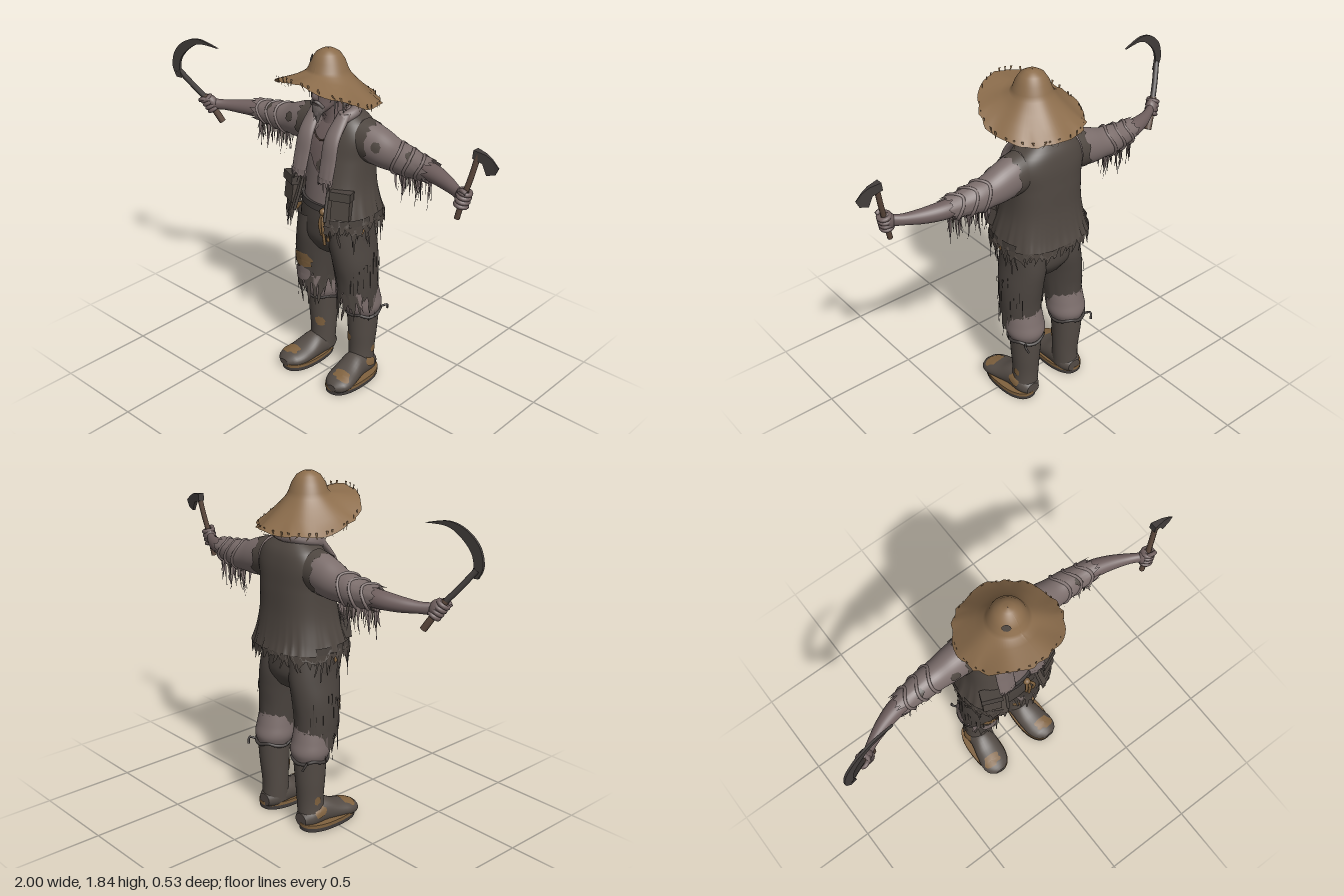
import * as THREE from 'three';

const V = (x, y, z) => new THREE.Vector3(x, y, z);
const TAU = Math.PI * 2;

export function createModel() {
  const root = new THREE.Group();
  root.name = 'raggedFarmer';
  let seed = 11;
  const rnd = () => (seed = (seed * 16807) % 2147483647) / 2147483647;

  const colors = {
    straw: 0x8c6d4c, skin: 0x70605f, shirt: 0x7c6e6c, vest: 0x4f4741, trousers: 0x4b443f,
    boots: 0x544c46, mud: 0x80623f, steel: 0x423d3b, wood: 0x5c483c, hair: 0x6c6361,
  };
  const M = {};
  for (const [name, color] of Object.entries(colors)) {
    M[name] = new THREE.MeshStandardMaterial({ color, side: THREE.DoubleSide });
    M[name].name = name;
  }

  const add = (name, geo, mat, parent = root) => {
    const m = new THREE.Mesh(geo, mat);
    m.name = name;
    parent.add(m);
    return m;
  };
  const mirror = (geo) => {
    const g = geo.clone().scale(-1, 1, 1), ix = g.index.array;
    for (let i = 0; i < ix.length; i += 3) [ix[i], ix[i + 1]] = [ix[i + 1], ix[i]];
    return g;
  };
  const pair = (name, geo, mat) => {
    add('left' + name, geo, mat);
    add('right' + name, mirror(geo), mat);
  };

  // Rows of points to a smooth surface
  function grid(rows, closed) {
    const n = rows[0].length, index = [];
    for (let i = 0; i + 1 < rows.length; i++) for (let j = 0; j < (closed ? n : n - 1); j++) {
      const k = (j + 1) % n, a = i * n + j, b = i * n + k, c = b + n, d = a + n;
      index.push(a, b, c, a, c, d);
    }
    const g = new THREE.BufferGeometry().setFromPoints(rows.flat());
    g.setIndex(index);
    g.computeVertexNormals();
    return g;
  }
  // Smooth body through elliptical rings: x [x,cy,cz,ry,rz], y [y,cx,cz,rx,rz], z [z,cx,cy,rx,ry]
  function body(axis, rings, e = 1) {
    const vals = rings.flatMap(([, a, b, ra, rb]) => axis === 'y' ? [b, a, rb, ra] : [a, b, ra, rb]);
    const f = new THREE.CubicInterpolant(rings.map(r => r[0]), new Float32Array(vals), 4);
    const pw = (q) => Math.sign(q) * Math.abs(q) ** e;
    const at = (t, th, grow = 0) => {
      const [a, b, ra, rb] = f.evaluate(t);
      const u = a + (ra + grow) * pw(Math.cos(th)), v = b + (rb + grow) * pw(Math.sin(th));
      return axis === 'x' ? V(t, u, v) : axis === 'y' ? V(v, t, u) : V(u, v, t);
    };
    at.axis = axis;
    at.lo = rings[0][0];
    at.hi = rings[rings.length - 1][0];
    return at;
  }
  function loft(at, { n = 20, seg = 32, a0 = 0, a1 = TAU, caps = true, hemLow = 0, hemHigh = 0 } = {}) {
    const closed = a1 - a0 > TAU - 0.01, cols = closed ? seg : seg + 1;
    const jag = Array.from({ length: cols }, () => rnd() - 0.5), rows = [];
    for (let i = 0; i <= n; i++) {
      const k = i / n, shift = hemLow * (1 - k) ** 5 + hemHigh * k ** 5;
      rows.push(jag.map((q, j) => {
        const p = at(at.lo + (at.hi - at.lo) * k, a0 + (a1 - a0) * j / seg);
        p[at.axis] += q * shift;
        return p;
      }));
    }
    if (caps && closed) {
      const lid = (r) => {
        const c = r.reduce((s, p) => s.add(p), V(0, 0, 0)).divideScalar(r.length);
        return r.map(() => c.clone());
      };
      const first = rows[0], last = rows[n];
      rows.unshift(lid(first), first.map(p => p.clone()));
      rows.push(last.map(p => p.clone()), lid(last));
    }
    return grid(rows, closed);
  }
  // Thin ragged patch lying on a body
  function patch(at, t, th, dt, dth, grow = 0.005) {
    const wob = Array.from({ length: 18 }, () => 0.75 + rnd() * 0.35);
    return grid([0, 0.35, 0.7, 1].map(r => wob.map((w, j) => {
      const a = -j / 18 * TAU;
      return at(t + dt * r * w * Math.sin(a), th + dth * r * w * Math.cos(a), grow);
    })), true);
  }
  // Hanging torn strips; where(k) gives the anchor for k in 0..1
  function tatters(where, count, len, width) {
    const pos = [], index = [];
    for (let c = 0; c < count; c++) {
      const k = (c + rnd() * 0.7) / count, p = where(k), tan = where(k + 0.01).sub(p).normalize();
      const L = len * (0.35 + rnd() * 0.75), sway = (rnd() - 0.5) * 0.05, b = pos.length / 3;
      for (let i = 0; i <= 4; i++) for (const s of [-1, 1]) {
        const o = s * width * (1 - i / 4.3) / 2 + sway * (i / 4) ** 2 + (rnd() - 0.5) * width * 0.3;
        pos.push(p.x + tan.x * o, p.y + 0.02 - (L + 0.02) * i / 4, p.z + tan.z * o);
      }
      for (let i = 0; i < 4; i++) {
        const a = b + i * 2;
        index.push(a, a + 2, a + 1, a + 1, a + 2, a + 3);
      }
    }
    const g = new THREE.BufferGeometry();
    g.setAttribute('position', new THREE.Float32BufferAttribute(pos, 3));
    g.setIndex(index);
    g.computeVertexNormals();
    return g;
  }
  const tube = (pts, r, closed = false, n = 32) =>
    new THREE.TubeGeometry(new THREE.CatmullRomCurve3(pts.map(p => V(...p)), closed), n, r, 8, closed);

  // Straw hat: turned profile, brim high in front and low at the back
  const hat = new THREE.LatheGeometry([[0.001, 1.842], [0.03, 1.838], [0.06, 1.82], [0.083, 1.785], [0.097, 1.745],
    [0.11, 1.72], [0.15, 1.7], [0.19, 1.68], [0.225, 1.66], [0.258, 1.64]].reverse().map(p => new THREE.Vector2(...p)), 64);
  const hp = hat.attributes.position;
  for (let i = 0; i < hp.count; i++) {
    let x = hp.getX(i), z = hp.getZ(i), y = hp.getY(i);
    const r = Math.hypot(x, z), a = Math.atan2(x, z);
    if (r > 0.1) {
      const k = Math.min(1, (r - 0.1) / 0.155);
      const edge = 1.628 + 0.08 * Math.cos(a) + 0.025 * Math.cos(2 * a) + 0.006 * Math.sin(7 * a);
      y = 1.735 + (edge - 1.735) * k ** 0.85;
      const rag = 1 + 0.025 * k ** 6 * Math.sin(13 * a + 2 * Math.sin(5 * a));
      x *= rag; z *= rag;
    }
    hp.setXYZ(i, x, y, z + 0.008);
  }
  hat.computeVertexNormals();
  add('strawHat', hat, M.straw);
  const hole = add('hatHole', new THREE.CircleGeometry(0.022, 9), M.vest);
  hole.position.set(-0.053, 1.795, 0.068);
  hole.lookAt(-0.16, 1.86, 0.2);
  add('hatFrayedEdge', tatters(k => V(0.25 * Math.sin(k * TAU), 1.628 + 0.08 * Math.cos(k * TAU) + 0.025 * Math.cos(2 * k * TAU),
    0.008 + 0.25 * Math.cos(k * TAU)), 34, 0.025, 0.012), M.straw);

  // Head, face and hair
  const head = body('y', [[1.535, 0, 0.065, 0.025, 0.025], [1.565, 0, 0.045, 0.052, 0.05], [1.6, 0, 0.018, 0.066, 0.078],
    [1.65, 0, 0.005, 0.077, 0.092], [1.7, 0, 0, 0.08, 0.095], [1.76, 0, 0, 0.065, 0.075]]);
  add('head', loft(head), M.skin);
  add('neck', loft(body('y', [[1.4, 0, -0.05, 0.1, 0.08], [1.48, 0, -0.045, 0.065, 0.065], [1.6, 0, -0.02, 0.055, 0.06]])), M.skin);
  add('nose', loft(body('y', [[1.605, 0, 0.095, 0.015, 0.014], [1.618, 0, 0.1, 0.017, 0.019], [1.675, 0, 0.09, 0.008, 0.008]]), { n: 8, seg: 12 }), M.skin);
  pair('Ear', new THREE.SphereGeometry(0.022, 10, 8).scale(0.45, 1.2, 0.8).translate(0.078, 1.635, 0), M.skin);
  pair('Eye', patch(head, 1.66, 0.38, 0.007, 0.17, 0.003), M.steel);
  pair('Brow', tube([[0.012, 1.672, 0.1], [0.035, 1.678, 0.09], [0.055, 1.67, 0.072]], 0.006), M.hair);
  pair('Moustache', tube([[0.002, 1.6, 0.105], [0.022, 1.594, 0.1], [0.038, 1.57, 0.083]], 0.008), M.hair);
  const beard = body('y', [[1.485, 0, 0.085, 0.004, 0.004], [1.52, 0, 0.083, 0.018, 0.016], [1.55, 0, 0.075, 0.036, 0.03], [1.578, 0, 0.065, 0.042, 0.036]]);
  add('beard', loft(beard), M.hair);
  add('beardStrands', tatters(k => beard(1.545, k * TAU), 14, 0.05, 0.012), M.hair);
  add('backHair', loft(body('y', [[1.56, 0, -0.035, 0.07, 0.06], [1.64, 0, -0.022, 0.084, 0.078], [1.72, 0, -0.01, 0.086, 0.09]]),
    { a0: 1.35, a1: TAU - 1.35, hemLow: 0.05 }), M.hair);
  add('hairStrands', tatters(k => head(1.68, 0.95 + k * (TAU - 1.9), 0.012), 30, 0.17, 0.016), M.hair);

  // Torso, bare chest and open vest
  const torso = body('y', [[1.0, 0, -0.05, 0.185, 0.135], [1.15, 0, -0.05, 0.175, 0.125], [1.3, 0, -0.06, 0.178, 0.125],
    [1.42, 0, -0.075, 0.175, 0.11], [1.49, 0, -0.08, 0.12, 0.08], [1.52, 0, -0.08, 0.07, 0.06]]);
  add('shirtBody', loft(torso), M.shirt);
  add('bareChest', patch(torso, 1.35, 0, 0.14, 0.5), M.skin);
  add('chestStain', patch(torso, 1.255, 0.05, 0.035, 0.14, 0.009), M.vest);
  add('necklace', tube([[-0.075, 1.47, 0.01], [-0.055, 1.42, 0.05], [0, 1.385, 0.066], [0.055, 1.42, 0.05], [0.075, 1.47, 0.01]], 0.004), M.wood);
  const vest = body('y', [[0.96, 0, -0.045, 0.255, 0.215], [1.03, 0, -0.045, 0.235, 0.195], [1.15, 0, -0.055, 0.207, 0.167],
    [1.3, 0, -0.07, 0.2, 0.145], [1.42, 0, -0.08, 0.205, 0.125], [1.485, 0, -0.085, 0.165, 0.1], [1.525, 0, -0.085, 0.1, 0.07]], 0.8);
  const open = { a0: 0.35, a1: TAU - 0.35 };
  add('vest', loft(vest, { ...open, n: 36, seg: 90, hemLow: 0.06 }), M.vest);
  add('vestTatters', tatters(k => vest(0.965, 0.35 + k * (TAU - 0.7)), 44, 0.065, 0.035), M.vest);
  pair('SideRags', tatters(k => vest(1.0, 0.5 + k * 1.5, 0.006), 14, 0.16, 0.03), M.trousers);
  pair('VestEdge', tube([1.0, 1.1, 1.2, 1.3, 1.4, 1.48].map(y => vest(y, 0.35).toArray()), 0.008), M.trousers);
  const box = (w, h, d, x, y, z) => new THREE.BoxGeometry(w, h, d).rotateX(-0.12).rotateY(0.4).translate(x, y, z);
  pair('Pocket', box(0.095, 0.13, 0.05, 0.165, 1.085, 0.09), M.vest);
  pair('PocketFlap', box(0.108, 0.045, 0.062, 0.165, 1.145, 0.09), M.trousers);

  // Towel around the neck
  const towel = body('y', [[1.2, 0.09, 0.13, 0.046, 0.012], [1.3, 0.088, 0.105, 0.048, 0.016],
    [1.42, 0.085, 0.07, 0.045, 0.022], [1.53, 0.088, -0.02, 0.035, 0.032]]);
  pair('TowelEnd', loft(towel, { hemLow: 0.03 }), M.shirt);
  pair('TowelFringe', tatters(k => towel(1.21, Math.PI * (k - 0.5)), 7, 0.06, 0.016), M.shirt);
  add('towelCollar', tube([[-0.09, 1.5, 0.01], [-0.105, 1.525, -0.07], [-0.06, 1.54, -0.13], [0, 1.54, -0.145],
    [0.06, 1.54, -0.13], [0.105, 1.525, -0.07], [0.09, 1.5, 0.01]], 0.03), M.shirt);

  // Arms: torn rolled sleeves over bare forearms
  const sleeve = body('x', [[0.1, 1.415, -0.085, 0.07, 0.07], [0.18, 1.395, -0.085, 0.1, 0.085], [0.27, 1.375, -0.088, 0.098, 0.082],
    [0.36, 1.358, -0.09, 0.08, 0.072], [0.42, 1.352, -0.09, 0.078, 0.07], [0.5, 1.35, -0.085, 0.064, 0.06], [0.58, 1.35, -0.077, 0.06, 0.056]]);
  pair('Sleeve', loft(sleeve, { n: 32, seg: 40, caps: false, hemHigh: 0.05 }), M.shirt);
  for (const x of [0.39, 0.46, 0.53])
    pair('SleeveFold', tube(Array.from({ length: 12 }, (_, i) => sleeve(x, i / 12 * TAU).add(V(0.02 * Math.sin(i), 0, 0)).toArray()), 0.008, true, 40), M.shirt);
  pair('SleeveRags', tatters(k => sleeve(0.36 + k * 0.22, 2.5 + rnd() * 1.3), 26, 0.14, 0.022), M.shirt);
  pair('SleeveDarkRags', tatters(k => sleeve(0.4 + k * 0.17, 2.2 + rnd() * 1.9), 12, 0.1, 0.018), M.vest);
  pair('ArmholeEdge', loft(body('x', [[0.165, 1.395, -0.086, 0.106, 0.092], [0.225, 1.385, -0.087, 0.106, 0.09]]),
    { n: 6, seg: 40, caps: false, hemHigh: 0.04 }), M.vest);
  pair('SleeveHole', patch(sleeve, 0.29, 1.2, 0.03, 0.3), M.vest);
  pair('SleeveTear', patch(sleeve, 0.47, 0.7, 0.025, 0.35), M.vest);
  pair('Forearm', loft(body('x', [[0.48, 1.35, -0.085, 0.045, 0.045], [0.6, 1.347, -0.073, 0.044, 0.046], [0.7, 1.342, -0.043, 0.036, 0.037],
    [0.775, 1.34, -0.008, 0.028, 0.028], [0.82, 1.34, 0.02, 0.03, 0.026]])), M.skin);

  // Hands closed round a handle
  function fist(name, at, dir) {
    const g = new THREE.Group();
    g.name = name;
    g.position.copy(at);
    g.quaternion.setFromUnitVectors(V(0, 1, 0), dir.normalize());
    root.add(g);
    add('palm', new THREE.SphereGeometry(1, 16, 12).scale(0.034, 0.046, 0.03).translate(-Math.sign(at.x) * 0.012, 0, -0.008), M.skin, g);
    for (let i = 0; i < 4; i++)
      add('finger', new THREE.TorusGeometry(0.026, 0.0115, 8, 18).rotateX(Math.PI / 2).translate(0, -0.033 + i * 0.022, 0), M.skin, g);
    add('thumb', tube([[-Math.sign(at.x) * 0.03, 0.02, 0.005], [0, 0.048, 0.028], [Math.sign(at.x) * 0.022, 0.044, 0.025]], 0.011, false, 10), M.skin, g);
  }
  fist('leftHand', V(0.842, 1.34, 0.03), V(0.07, 0.33, -0.03));
  fist('rightHand', V(-0.845, 1.34, 0.033), V(-0.075, 0.13, 0.05));

  // Hatchet in the left hand
  const plate = (outline, depth) => new THREE.ExtrudeGeometry(outline, { depth, bevelEnabled: false, curveSegments: 24 }).translate(0, 0, -depth / 2);
  add('hatchetHandle', tube([[0.82, 1.235, 0.038], [0.842, 1.34, 0.03], [0.868, 1.45, 0.015], [0.892, 1.575, 0.0]], 0.014), M.wood);
  const axe = plate(new THREE.Shape([[0.868, 1.54], [0.918, 1.525], [0.94, 1.475], [0.982, 1.488], [1.0, 1.525], [0.965, 1.555], [0.93, 1.572],
    [0.872, 1.58]].map(p => new THREE.Vector2(...p))), 0.036);
  const ap = axe.attributes.position;
  for (let i = 0; i < ap.count; i++) ap.setZ(i, ap.getZ(i) * Math.max(0.1, 1 - (ap.getX(i) - 0.87) / 0.12));
  axe.computeVertexNormals();
  add('hatchetHead', axe, M.steel);

  // Sickle in the right hand
  add('sickleHandle', tube([[-0.79, 1.24, -0.003], [-0.82, 1.295, 0.015], [-0.87, 1.385, 0.05]], 0.018), M.wood);
  add('sickleShank', tube([[-0.86, 1.37, 0.045], [-0.91, 1.44, 0.085], [-0.965, 1.53, 0.135]], 0.015), M.steel);
  const crescent = new THREE.Shape().moveTo(-0.975, 1.49);
  crescent.splineThru([[-0.998, 1.55], [-0.975, 1.635], [-0.905, 1.7], [-0.81, 1.726], [-0.69, 1.7]].map(p => new THREE.Vector2(...p)));
  crescent.splineThru([[-0.8, 1.702], [-0.87, 1.67], [-0.93, 1.61], [-0.95, 1.55], [-0.94, 1.49]].map(p => new THREE.Vector2(...p)));
  const blade = plate(crescent, 0.012), bp = blade.attributes.position;
  for (let i = 0; i < bp.count; i++) bp.setZ(i, bp.getZ(i) + 0.135 - 0.15 * (bp.getX(i) + 0.95));
  blade.computeVertexNormals();
  add('sickleBlade', blade, M.steel);

  // Trousers, belt and cord
  add('hips', loft(body('y', [[0.76, 0, -0.055, 0.13, 0.1], [0.83, 0, -0.055, 0.205, 0.143], [0.92, 0, -0.052, 0.21, 0.148], [1.04, 0, -0.05, 0.192, 0.14]])), M.trousers);
  add('belt', loft(body('y', [[1.01, 0, -0.05, 0.2, 0.148], [1.045, 0, -0.05, 0.196, 0.146]]), { n: 3 }), M.steel);
  for (const [x, y] of [[0.04, 0.89], [0.06, 0.84], [0.085, 0.87]])
    add('beltCord', tube([[0.05, 1.02, 0.1], [x, 0.96, 0.115], [x + 0.005, y, 0.105]], 0.008), M.mud);
  add('beltKnot', new THREE.SphereGeometry(0.02, 10, 8).translate(0.05, 1.02, 0.1), M.mud);

  const leg = body('y', [[0.52, 0.142, -0.065, 0.1, 0.118], [0.62, 0.138, -0.062, 0.105, 0.122], [0.72, 0.13, -0.058, 0.107, 0.135],
    [0.83, 0.113, -0.055, 0.105, 0.146], [0.95, 0.1, -0.05, 0.1, 0.14]]);
  pair('TrouserLeg', loft(leg, { n: 30, seg: 44, caps: false, hemLow: 0.14 }), M.trousers);
  pair('TrouserRags', tatters(k => leg(0.54, k * TAU), 24, 0.14, 0.035), M.trousers);
  pair('ThighRags', tatters(k => leg(0.62 + rnd() * 0.16, 0.5 + k * 2, 0.006), 18, 0.1, 0.035), M.trousers);
  add('thighPatch', mirror(patch(leg, 0.665, 0, 0.05, 0.65)), M.mud);
  add('kneeTear', mirror(patch(leg, 0.575, 0.1, 0.05, 0.6, 0.006)), M.shirt);
  pair('HipPatch', patch(leg, 0.94, 1.2, 0.03, 0.2, 0.02), M.mud);
  const breeches = body('y', [[0.4, 0.14, -0.108, 0.088, 0.09], [0.44, 0.14, -0.105, 0.103, 0.105], [0.5, 0.14, -0.095, 0.1, 0.103], [0.62, 0.138, -0.07, 0.09, 0.1]]);
  pair('Breeches', loft(breeches, { seg: 40 }), M.shirt);
  pair('BreechesRags', tatters(k => breeches(0.55, -0.7 + k * 1.5, 0.03), 8, 0.12, 0.03), M.shirt);

  // Tall muddy boots
  const shaft = body('y', [[0.05, 0.145, -0.1, 0.068, 0.075], [0.15, 0.14, -0.105, 0.069, 0.071], [0.28, 0.142, -0.108, 0.077, 0.08], [0.415, 0.142, -0.11, 0.086, 0.088]]);
  pair('BootShaft', loft(shaft), M.boots);
  const foot = body('z', [[-0.178, 0.147, 0.055, 0.04, 0.035], [-0.14, 0.147, 0.065, 0.064, 0.058], [-0.04, 0.15, 0.075, 0.071, 0.075],
    [0.04, 0.16, 0.06, 0.08, 0.054], [0.11, 0.17, 0.05, 0.08, 0.044], [0.155, 0.175, 0.046, 0.058, 0.034], [0.174, 0.177, 0.043, 0.028, 0.018]]);
  pair('BootFoot', loft(foot), M.boots);
  const sole = (lo, hi, g) => loft(body('y', [[lo, 0.162, -0.003, 0.087 + g, 0.174 + g], [hi, 0.162, -0.003, 0.087 + g, 0.174 + g]], 0.85), { n: 2, seg: 40 });
  pair('Sole', sole(0, 0.022, 0), M.steel);
  pair('MuddyWelt', sole(0.022, 0.04, 0.003), M.mud);
  pair('ToeMud', patch(foot, 0.105, 1.3, 0.035, 0.75, 0.004), M.mud);
  pair('HeelMud', patch(foot, -0.1, 0.4, 0.04, 0.5, 0.005), M.mud);
  pair('ShaftMud', patch(shaft, 0.24, -0.5, 0.035, 0.4, 0.004), M.mud);
  pair('AnkleMud', patch(shaft, 0.17, 1.7, 0.025, 0.3, 0.004), M.mud);
  pair('BootCord', tube(Array.from({ length: 12 }, (_, i) => shaft(0.4 + 0.01 * Math.sin(i * 2), i / 12 * TAU, 0.006).toArray()), 0.009, true, 40), M.steel);
  pair('BootCordEnd', tube([[0.2, 0.4, -0.18], [0.225, 0.41, -0.21], [0.215, 0.38, -0.225]], 0.006, false, 10), M.steel);

  return root;
}
